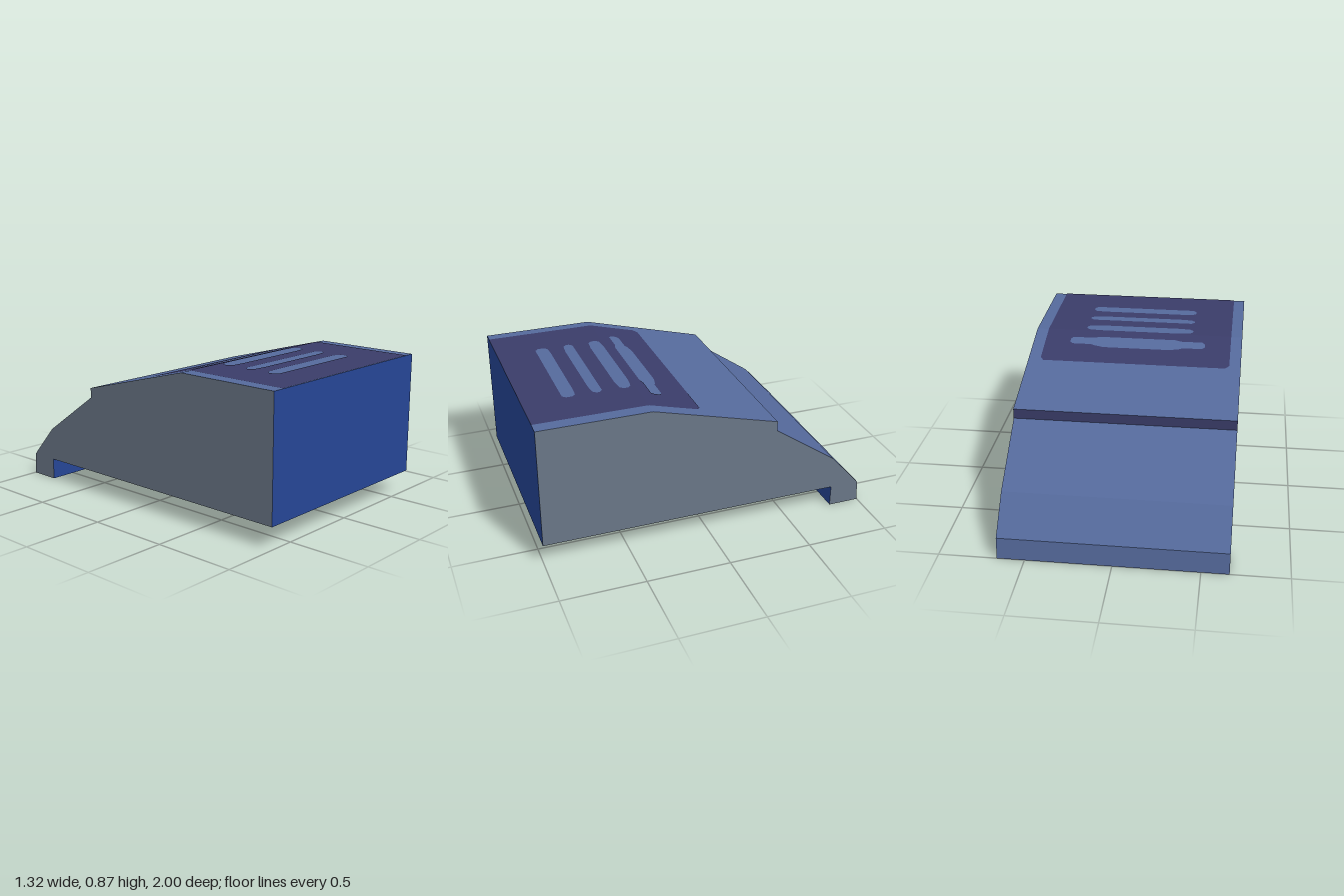
import * as THREE from 'three';

const W = 0.66;      // half width
const TOP = 0.865;   // roof height
const BEND = 0.34;   // z where the roof starts to slope

const mat = (name, color) => {
  const m = new THREE.MeshStandardMaterial({ color });
  m.name = name;
  return m;
};

export function createModel() {
  const group = new THREE.Group();
  const slate = mat('slateBlue', 0x556a9c);
  const purple = mat('darkPurple', 0x3a3c69);
  const grey = mat('steelGrey', 0x6a7787);
  const blue = mat('royalBlue', 0x254595);

  const add = (name, geometry, material) => {
    const mesh = new THREE.Mesh(geometry, material);
    mesh.name = name;
    group.add(mesh);
  };

  // Side profile: z, y, then name and material of the strip to the next point
  const profile = [
    [1, TOP, 'roofFlat', slate],
    [BEND, TOP, 'roofSlope', slate],
    [-0.42, 0.66, 'roofStep', purple],
    [-0.42, 0.6, 'rearSlope', slate],
    [-0.81, 0.33, 'rearLowerSlope', slate],
    [-0.99, 0.13, 'lipBack', slate],
    [-1, 0, 'lipUnderside', blue],
    [-0.81, 0, 'lipFront', blue],
    [-0.81, 0.13, 'underside', grey],
    [1, 0.13, 'frontPanel', blue],
  ];

  // Full-width strips along the profile
  profile.forEach(([z, y, name, material], i) => {
    const [z2, y2] = profile[(i + 1) % profile.length];
    const g = new THREE.BufferGeometry();
    g.setAttribute('position', new THREE.Float32BufferAttribute(
      [-W, y, z, W, y, z, W, y2, z2, -W, y2, z2], 3));
    g.setIndex([0, 1, 2, 0, 2, 3]);
    g.computeVertexNormals();
    add(name, g, material);
  });

  // Side walls
  for (const s of [1, -1]) {
    const outline = profile.map(([z, y]) => new THREE.Vector2(-s * z, y));
    const g = new THREE.ShapeGeometry(new THREE.Shape(outline));
    g.rotateY(s * Math.PI / 2).translate(s * W, 0, 0);
    add(s > 0 ? 'leftWall' : 'rightWall', g, grey);
  }

  // Thin roof panel, cut by slots and laid onto the roof surface
  const roofY = z => TOP - Math.max(0, BEND - z) * (TOP - 0.66) / (BEND + 0.42);
  const points = list => list.map(([x, z]) => new THREE.Vector2(x, -z));
  const panel = (name, outline, slots) => {
    const shape = new THREE.Shape(points(outline));
    shape.holes = slots.map(s => new THREE.Path(points(s)));
    const g = new THREE.ShapeGeometry(shape).rotateX(-Math.PI / 2);
    const p = g.attributes.position;
    for (let i = 0; i < p.count; i++) p.setY(i, roofY(p.getZ(i)) + 0.003);
    g.computeVertexNormals();
    add(name, g, purple);
  };

  // Slot with clipped ends; the middle may bulge at the back (b) or front (f)
  const slot = (z0, z1, b, f) => [
    [-0.345, z0 + 0.02], [-0.325, z0], [-0.25, z0 - b], [0.25, z0 - b],
    [0.32, z0], [0.34, z0 + 0.02], [0.34, z1 - 0.02], [0.32, z1],
    [0.25, z1 + f], [-0.25, z1 + f], [-0.325, z1], [-0.345, z1 - 0.02],
  ];
  panel('roofPanelFront',
    [[-0.59, 1], [0.585, 1], [0.585, BEND], [-0.59, BEND]],
    [slot(0.36, 0.428, 0.008, 0.007), slot(0.53, 0.588, 0, 0.007), slot(0.688, 0.765, 0.004, 0)]);

  const wideSlot = [
    [-0.43, 0.22], [-0.41, 0.204], [-0.29, 0.204], [-0.27, 0.193], [-0.21, 0.18],
    [0.21, 0.18], [0.27, 0.195], [0.29, 0.204], [0.41, 0.204], [0.425, 0.22],
    [0.425, 0.25], [0.41, 0.268], [0.28, 0.268], [0.24, 0.28],
    [-0.24, 0.28], [-0.28, 0.268], [-0.41, 0.268], [-0.43, 0.25],
  ];
  panel('roofPanelRear',
    [[-0.59, BEND], [0.585, BEND], [0.585, 0.055], [0.565, 0.03], [-0.565, 0.03], [-0.59, 0.055]],
    [wideSlot]);

  return group;
}
